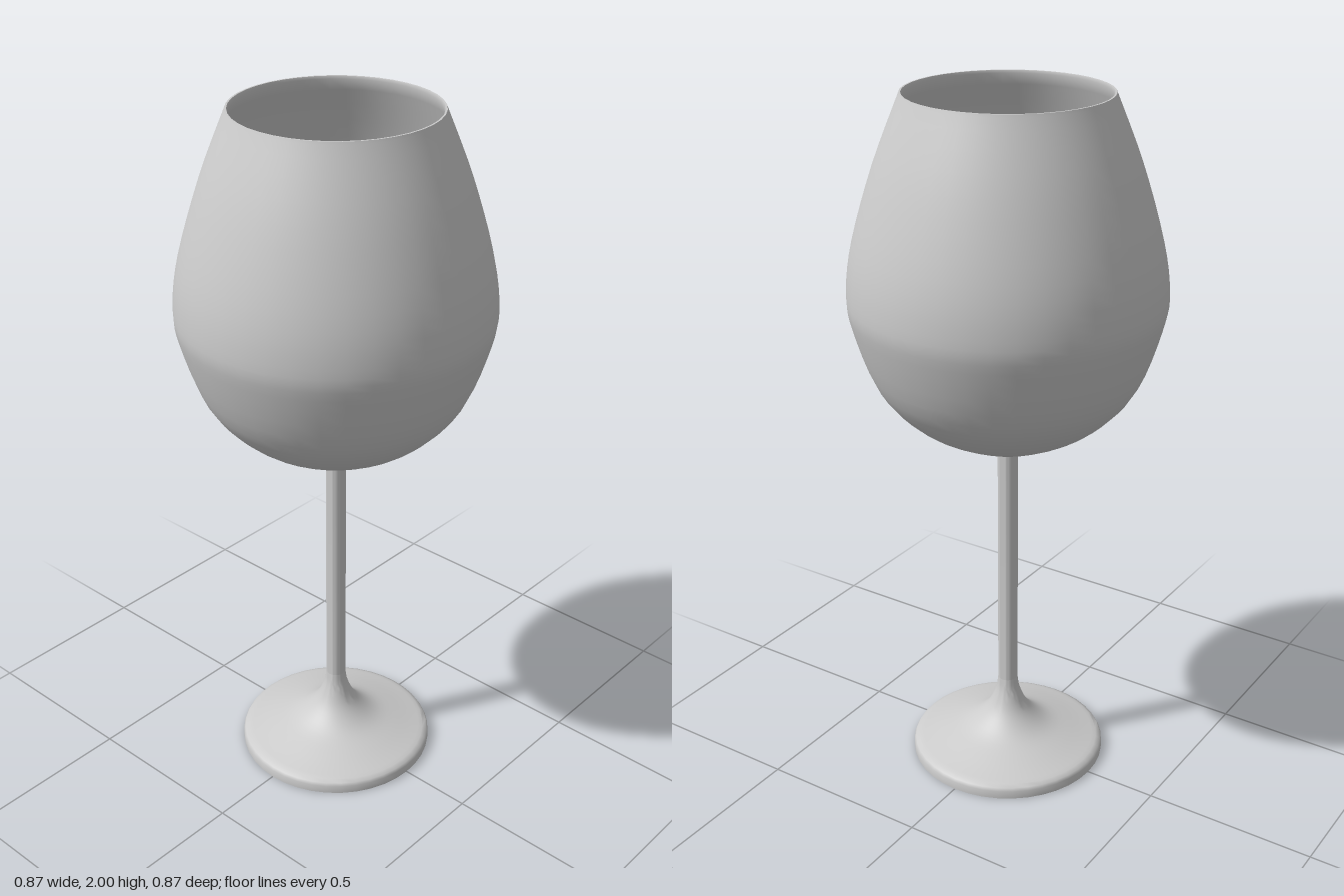
import * as THREE from 'three';
import { toCreasedNormals } from 'three/addons/utils/BufferGeometryUtils.js';

const SEGMENTS = 40;
const WALL = 0.01;
const material = new THREE.MeshStandardMaterial({ color: 0xcccccc });

const toPoints = (pairs) => pairs.map(([r, y]) => new THREE.Vector2(r, y));

// Smooth profile through a few [radius, height] pairs
function smoothProfile(pairs, divisions) {
  return new THREE.SplineCurve(toPoints(pairs)).getPoints(divisions);
}

// Revolve a profile, keeping its hard edges sharp
function turned(name, profile) {
  const geometry = toCreasedNormals(new THREE.LatheGeometry(profile, SEGMENTS), Math.PI / 4.5);
  const mesh = new THREE.Mesh(geometry, material);
  mesh.name = name;
  return mesh;
}

export function createModel() {
  const group = new THREE.Group();
  group.name = 'wineGlass';

  // Bowl: outer wall up to the rim, then the inner wall back down
  const outer = smoothProfile([
    [0.08, 1.013], [0.165, 1.045], [0.275, 1.11], [0.365, 1.215], [0.425, 1.385],
    [0.435, 1.475], [0.415, 1.61], [0.355, 1.81], [0.283, 1.992],
  ], 32);
  const inner = outer.map((p) => new THREE.Vector2(
    p.x - WALL, p.y + WALL * (2 - p.y))).reverse();
  const bowl = turned('bowl', [
    ...toPoints([[0, 1.012]]), ...outer,
    ...toPoints([[0.28, 2], [0.275, 2]]), ...inner,
    ...toPoints([[0, 1.022]]),
  ]);

  // Stem: straight rod running into the base of the bowl
  const stem = turned('stem', toPoints([[0.029, 0.24], [0.029, 1.015]]));

  // Foot: flat disc with a low edge, flaring up into the stem
  const flare = smoothProfile([
    [0.27, 0.039], [0.2, 0.06], [0.12, 0.09], [0.065, 0.137], [0.037, 0.195], [0.029, 0.24],
  ], 20);
  const foot = turned('foot', [
    ...toPoints([[0, 0], [0.287, 0], [0.287, 0.024], [0.282, 0.033]]), ...flare,
  ]);

  group.add(bowl, stem, foot);
  return group;
}
